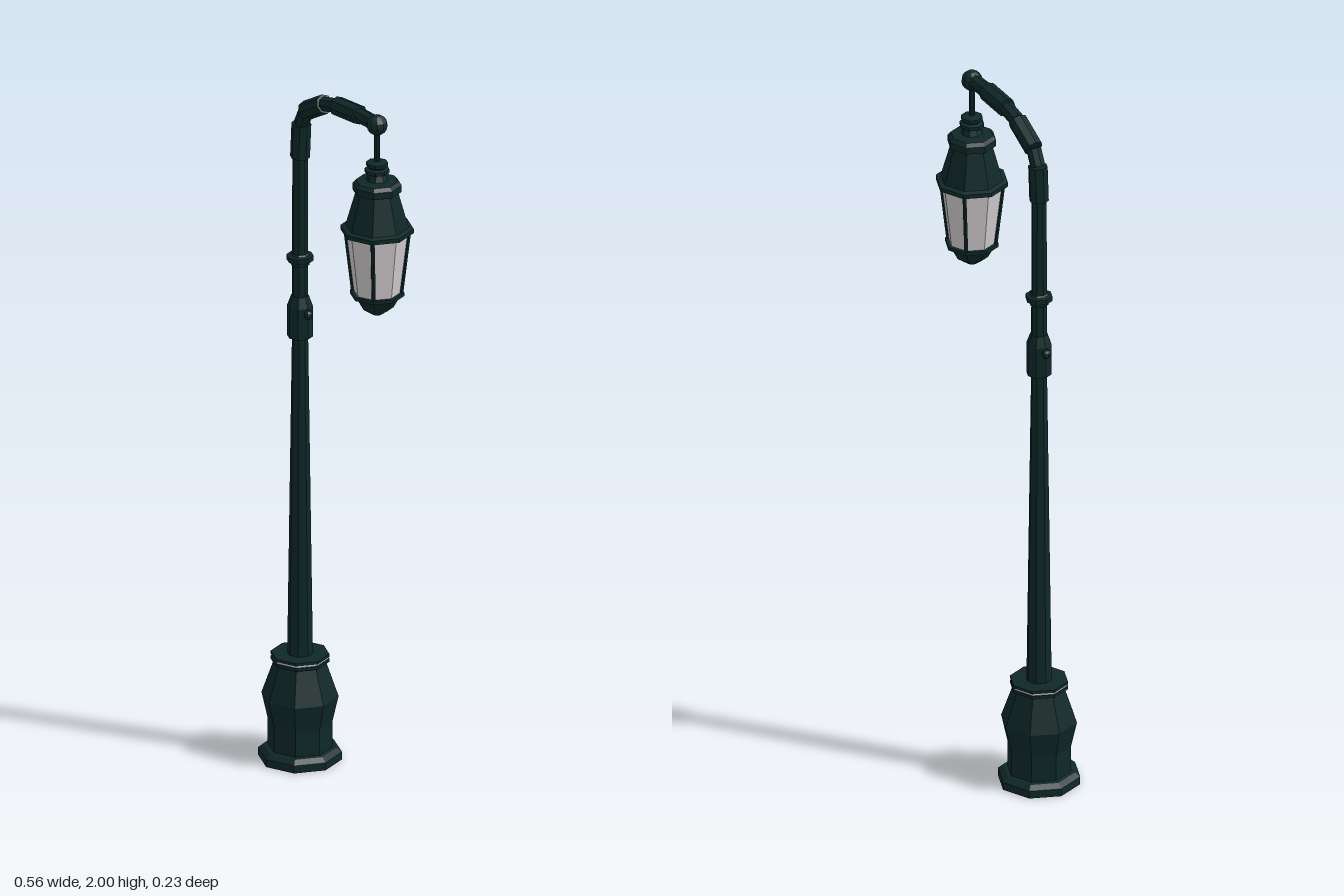
import * as THREE from 'three';

const POLE_X = -0.166, LAMP_X = 0.179;

export function createModel() {
  const iron = new THREE.MeshStandardMaterial({ color: 0x0f2828, flatShading: true });
  iron.name = 'dark green iron';
  const pale = new THREE.MeshStandardMaterial({ color: 0xd2cdd0, flatShading: true, side: THREE.DoubleSide });
  pale.name = 'frosted glass';

  const model = new THREE.Group();
  const add = (name, geometry, material = iron, parent = model) => {
    const mesh = new THREE.Mesh(geometry, material);
    mesh.name = name;
    parent.add(mesh);
    return mesh;
  };
  // eight-sided turned part from [radius, height] pairs, bottom to top
  const turned = (name, x, profile, material = iron) => {
    const pts = profile.map(([r, y]) => new THREE.Vector2(r, y));
    add(name, new THREE.LatheGeometry(pts, 8), material).position.x = x;
  };
  // eight-sided bar between two points
  const bar = (name, a, b, r0, r1 = r0, sides = 8) => {
    const from = new THREE.Vector3(...a), to = new THREE.Vector3(...b);
    const dir = to.clone().sub(from);
    const mesh = add(name, new THREE.CylinderGeometry(r1, r0, dir.length(), sides));
    mesh.position.copy(from).add(to).multiplyScalar(0.5);
    mesh.quaternion.setFromUnitVectors(new THREE.Vector3(0, 1, 0), dir.normalize());
  };

  // Pedestal
  turned('pedestal', POLE_X, [
    [0, 0], [0.114, 0], [0.114, 0.022], [0.1, 0.034], [0.088, 0.036], [0.088, 0.11],
    [0.105, 0.185], [0.072, 0.28], [0.08, 0.284], [0.08, 0.293], [0, 0.293]]);
  turned('pedestalBand', POLE_X, [[0.077, 0.293], [0.077, 0.299]], pale);
  turned('pedestalCap', POLE_X, [[0, 0.299], [0.08, 0.299], [0.08, 0.307], [0, 0.307]]);

  // Pole with collar and ring
  turned('pole', POLE_X, [[0.035, 0.3], [0.022, 1.24], [0.021, 1.78]]);
  turned('collar', POLE_X, [[0, 1.235], [0.035, 1.235], [0.035, 1.325], [0.024, 1.355], [0, 1.355]]);
  turned('poleRing', POLE_X, [
    [0.02, 1.445], [0.026, 1.445], [0.026, 1.456], [0.037, 1.458],
    [0.037, 1.472], [0.026, 1.474], [0.02, 1.48]]);
  for (const s of [-1, 1]) {
    add('collarKnob', new THREE.SphereGeometry(0.013, 8, 6)).position.set(POLE_X + s * 0.037, 1.308, 0);
  }

  // Curved arm: thick sleeves alternating with thin links
  const path = [[POLE_X, 1.76, 0], [-0.16, 1.86, 0], [-0.138, 1.905, 0], [-0.055, 1.952, 0],
    [0, 1.966, 0], [0.1, 1.973, 0], [LAMP_X, 1.973, 0]];
  for (let i = 0; i < path.length - 1; i++) {
    bar(i % 2 ? 'armLink' : 'armSleeve', path[i], path[i + 1], i % 2 ? 0.021 : 0.027);
  }
  add('armBall', new THREE.SphereGeometry(0.029, 10, 8)).position.set(LAMP_X, 1.971, 0);
  bar('hangingRod', [LAMP_X, 1.84, 0], [LAMP_X, 1.97, 0], 0.008);

  // Lantern
  turned('lanternRoof', LAMP_X, [
    [0, 1.66], [0.1, 1.66], [0.1, 1.672], [0.086, 1.676], [0.058, 1.775], [0.067, 1.779],
    [0.067, 1.798], [0.058, 1.808], [0.03, 1.812], [0.022, 1.83], [0.034, 1.833],
    [0.034, 1.843], [0.022, 1.846], [0.03, 1.852], [0.03, 1.862], [0, 1.868]]);
  turned('lanternGlass', LAMP_X, [[0.064, 1.482], [0.086, 1.662]], pale);
  turned('lanternBowl', LAMP_X, [
    [0, 1.413], [0.014, 1.418], [0.045, 1.44], [0.062, 1.472],
    [0.074, 1.474], [0.074, 1.484], [0, 1.484]]);
  for (let i = 0; i < 4; i++) {
    const a = Math.PI / 4 + i * Math.PI / 2, c = Math.cos(a), s = Math.sin(a);
    bar('glazingBar', [LAMP_X + 0.065 * c, 1.478, 0.065 * s],
      [LAMP_X + 0.087 * c, 1.665, 0.087 * s], 0.006, 0.006, 6);
  }
  return model;
}
